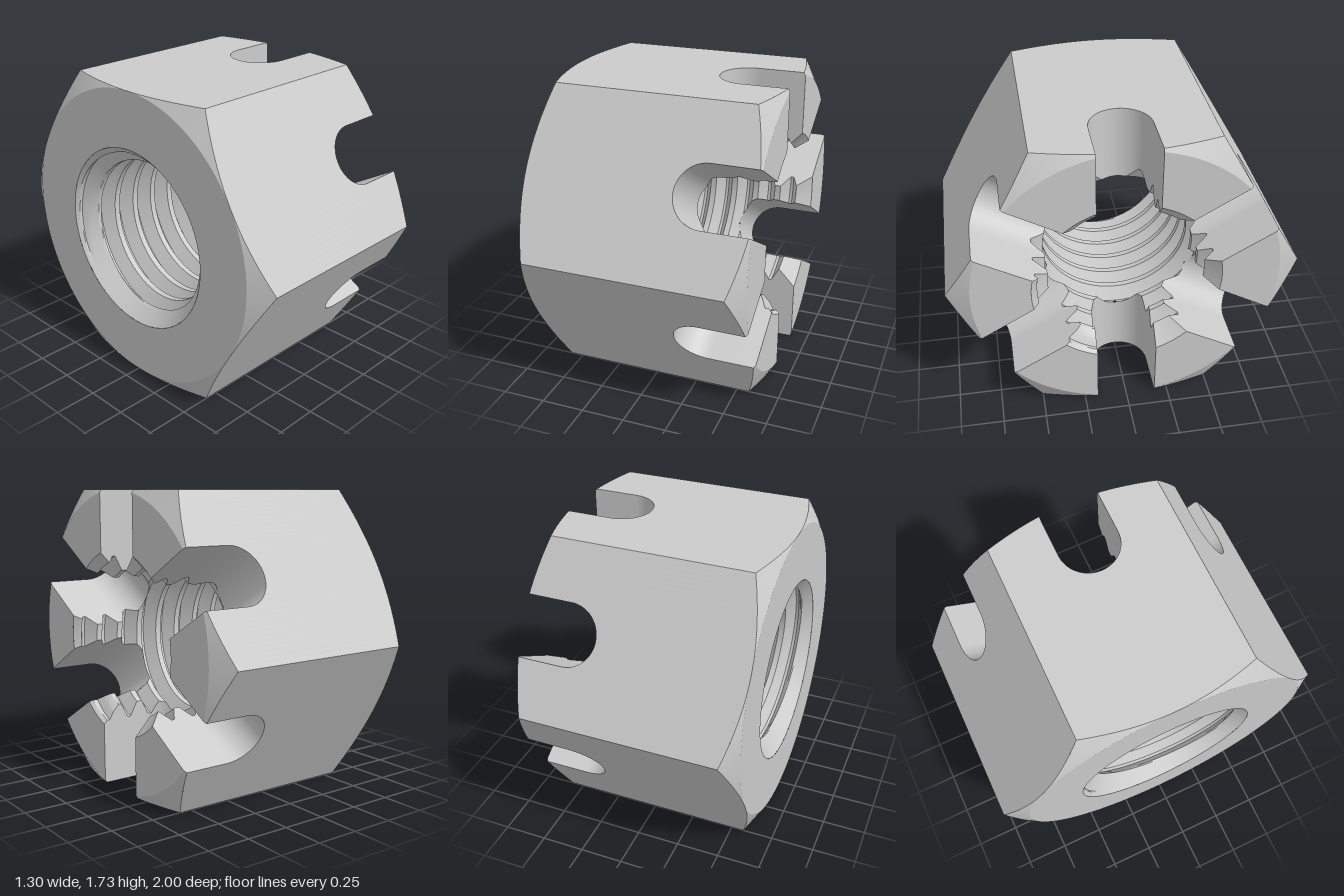
import * as THREE from 'three';
import { mergeGeometries, toCreasedNormals } from 'three/addons/utils/BufferGeometryUtils.js';

// Slotted hexagon nut, axis along x
const L = 0.65;                       // half length
const A = Math.sqrt(3) / 2;           // centre to flat
const SLOPE = Math.tan(Math.PI / 6);  // chamfer slope
const W = 0.173, SX = 0.38;           // slot half width, centre of its round end
const MINOR = 0.435, DEPTH = 0.08, MOUTH = 0.535;
const PITCH = 0.143, PHASE = 0.343;   // thread lead and position of a crest
const SECTOR = Math.PI / 3;
const { clamp, lerp } = THREE.MathUtils;

// Point at radius r, angle t from the top flat, and axial position x
const polar = (r, t, x) => [x, A + r * Math.cos(t), r * Math.sin(t)];
// Point in the frame of a flat: u outward, v along the flat
const onFlat = (i, u, v, x) => polar(Math.hypot(u, v), i * SECTOR + Math.atan2(v, u), x);

// Surface from a rule f(i, j) returning a point
function grid(ni, nj, f, flip = false) {
  const pos = [], index = [];
  for (let i = 0; i <= ni; i++) for (let j = 0; j <= nj; j++) pos.push(...f(i, j));
  for (let i = 0; i < ni; i++) for (let j = 0; j < nj; j++) {
    const a = i * (nj + 1) + j, b = a + nj + 1;
    if (flip) index.push(a, a + 1, b, b, a + 1, b + 1);
    else index.push(a, b, a + 1, b, b + 1, a + 1);
  }
  const g = new THREE.BufferGeometry();
  g.setAttribute('position', new THREE.Float32BufferAttribute(pos, 3));
  g.setIndex(index);
  return g;
}

// Bore radius: helical thread, widened by a 45 degree countersink at both ends
function boreRadius(t, x) {
  const turn = (x - PHASE) / PITCH - t / (2 * Math.PI);
  const d = Math.abs(turn - Math.round(turn));
  const thread = MINOR + DEPTH * clamp((d - 0.125) / 0.3125, 0, 1);
  return Math.max(thread, MOUTH - (L - Math.abs(x)));
}

// Half width of a slot at x
const slotHalf = x => x >= SX ? W : Math.sqrt(Math.max(0, W * W - (SX - x) ** 2));

// Axial end of a flat at v, where the chamfer cone cuts it
const chamferX = v => L - (Math.hypot(A, v) - A) * SLOPE;

// Angle where a thread row meets the side of a slot
function slotAngle(x0, mid, sign) {
  let t = mid;
  for (let n = 0; n < 16; n++) {
    const x = clamp(x0 + PITCH * t / (2 * Math.PI), -L, L);
    t = (t + mid + sign * Math.asin(slotHalf(x) / boreRadius(t, x))) / 2;
  }
  return t;
}

// Bore between two slots, with rows following the helix
function boreSector(i) {
  const first = -128, last = 37, cols = 14;
  const ends = [];
  for (let k = first; k <= last; k++) {
    const x0 = PHASE + PITCH * k / 16;
    ends.push([x0, slotAngle(x0, i * SECTOR, 1), slotAngle(x0, (i + 1) * SECTOR, -1)]);
  }
  return grid(last - first, cols, (r, c) => {
    const [x0, a, b] = ends[r];
    const t = lerp(a, b, c / cols);
    const x = clamp(x0 + PITCH * t / (2 * Math.PI), -L, L);
    return polar(boreRadius(t, x), t, x);
  });
}

// End face and chamfer around one corner; the slotted end stops at the slots
function endSector(i, side) {
  const cols = 24;
  return grid(2, cols, (ring, c) => {
    const r = [MOUTH, A, A][ring];
    const cut = side < 0 ? 0 : ring === 2 ? Math.atan(W / A) : Math.asin(W / r);
    const t = lerp(cut, SECTOR - cut, c / cols);
    if (ring < 2) return polar(r, i * SECTOR + t, side * L);
    const hex = A / Math.cos(t > SECTOR / 2 ? SECTOR - t : t);
    return polar(hex, i * SECTOR + t, side * (L - (hex - A) * SLOPE));
  }, side < 0);
}

// One outer flat with the slot notched out of it
function flatFace(i) {
  const cols = [];
  const side = s => {
    for (let n = 0; n <= 12; n++) {
      const v = s * lerp(0.5, W, (s < 0 ? n : 12 - n) / 12);
      cols.push([v, chamferX(v)]);
    }
  };
  side(-1);
  for (let n = 0; n <= 32; n++) {
    const a = Math.PI * n / 32;
    cols.push([-W * Math.cos(a), SX - W * Math.sin(a)]);
  }
  side(1);
  return grid(cols.length - 1, 1, (c, j) => {
    const [v, top] = cols[c];
    return onFlat(i, A, v, j ? top : -chamferX(v));
  });
}

// Walls and round end of one slot, from the thread out to the flat
function slotWall(i) {
  const path = [], straight = 54, arc = 48;
  for (let n = 0; n < straight; n++) path.push([W, lerp(L, SX, n / straight)]);
  for (let n = 0; n <= arc; n++) {
    const a = Math.PI * n / arc;
    path.push([W * Math.cos(a), SX - W * Math.sin(a)]);
  }
  for (let n = 1; n <= straight; n++) path.push([-W, lerp(SX, L, n / straight)]);
  return grid(path.length - 1, 1, (n, j) => {
    const [v, x] = path[n];
    if (j) {
      const cone = A + (L - x) / SLOPE;
      return onFlat(i, Math.min(A, Math.sqrt(cone * cone - v * v)), v, x);
    }
    let r = MINOR;
    for (let k = 0; k < 8; k++) r = boreRadius(i * SECTOR + Math.asin(v / r), x);
    return onFlat(i, Math.sqrt(r * r - v * v), v, x);
  });
}

export function createModel() {
  const nut = new THREE.Group();
  nut.name = 'slottedHexNut';
  const material = new THREE.MeshStandardMaterial({ color: 0xcccccc });

  // Each part repeats six times around the axis
  const parts = {
    hexFlats: flatFace,
    slottedEnd: i => endSector(i, 1),
    plainEnd: i => endSector(i, -1),
    slots: slotWall,
    threadedBore: boreSector,
  };
  for (const [name, build] of Object.entries(parts)) {
    const six = Array.from({ length: 6 }, (_, i) => build(i));
    const mesh = new THREE.Mesh(toCreasedNormals(mergeGeometries(six), 0.4), material);
    mesh.name = name;
    nut.add(mesh);
  }
  return nut;
}
